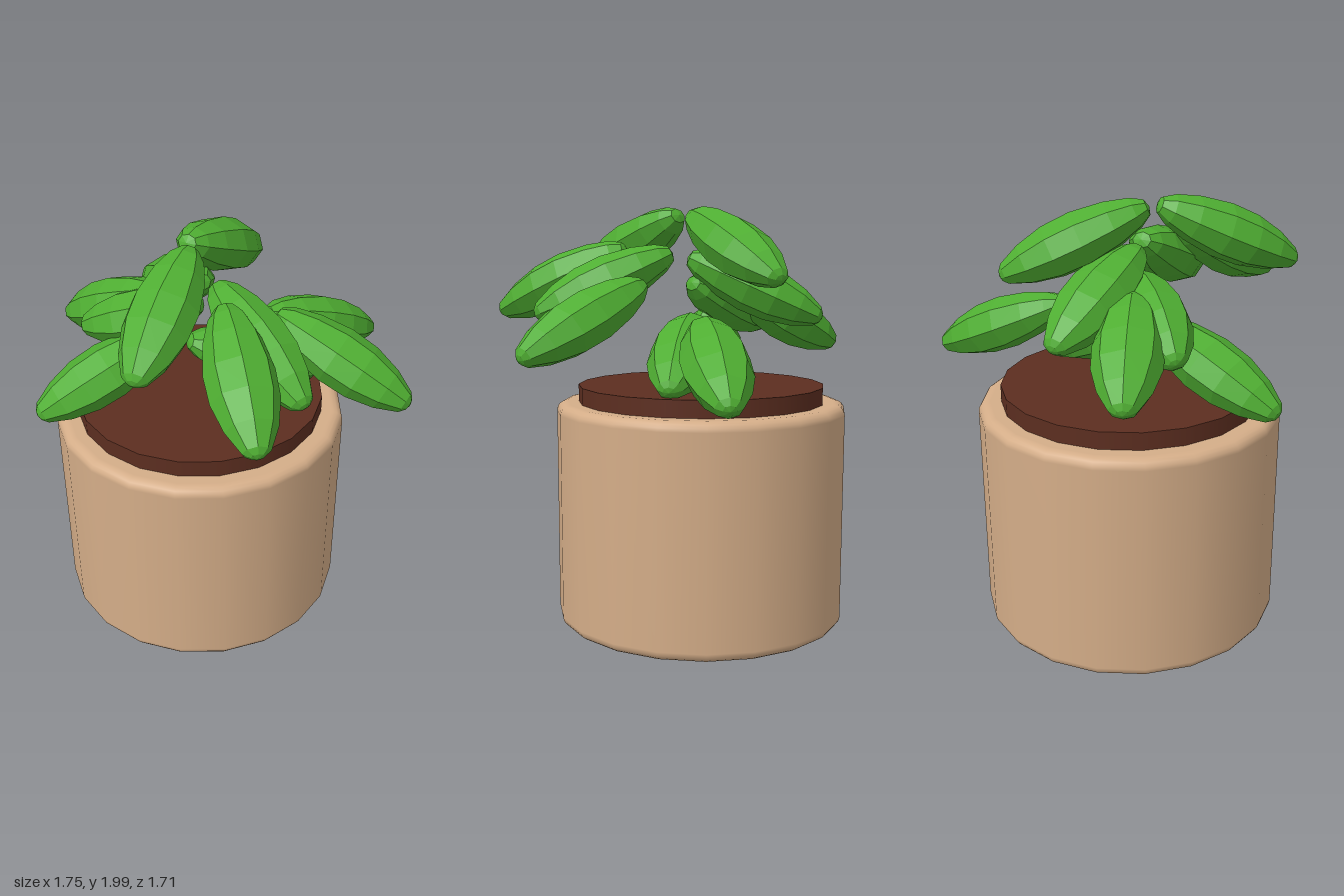
import * as THREE from 'three';

const green = new THREE.MeshStandardMaterial({ color: 0x4fae32, flatShading: true });
const clay = new THREE.MeshStandardMaterial({ color: 0xd4ad88 });
const earth = new THREE.MeshStandardMaterial({ color: 0x5c2e20 });

const lathe = (points, sides) =>
  new THREE.LatheGeometry(points.map(([r, y]) => new THREE.Vector2(r, y)), sides);

// Plump faceted leaf, one unit long along y: base at 0, tip at 1, flattened in z
function leafGeometry() {
  const profile = [[0, 0], [0.045, 0.015], [0.085, 0.09], [0.125, 0.24], [0.152, 0.45],
    [0.147, 0.64], [0.112, 0.82], [0.06, 0.96], [0.03, 0.99], [0, 1]];
  return lathe(profile, 8).scale(1, 1, 0.83);
}

// Base point and tip point of every leaf
const leaves = [
  [[-0.03, 1.79, 0.19], [-0.01, 1.48, 0.85]],    // front
  [[-0.03, 1.77, -0.04], [0.25, 1.48, 0.55]],    // front left
  [[0.23, 1.63, 0.02], [0.77, 1.32, 0.39]],      // left, towards the front
  [[-0.15, 1.45, -0.11], [0.48, 1.17, -0.18]],   // left, low
  [[0.25, 1.46, -0.27], [0.87, 1.16, -0.55]],    // left, outer
  [[-0.15, 1.95, -0.1], [0.25, 1.65, -0.62]],    // back left, top
  [[-0.08, 1.75, -0.1], [-0.24, 1.46, -0.72]],   // back
  [[-0.25, 1.61, -0.28], [-0.67, 1.31, -0.71]],  // back right, outer
  [[-0.08, 1.63, -0.12], [-0.62, 1.42, -0.38]],  // right, inner
  [[-0.23, 1.47, -0.17], [-0.87, 1.17, -0.02]],  // right, low
  [[-0.14, 1.95, -0.04], [-0.46, 1.66, 0.53]],   // front right, top
];

export function createModel() {
  const model = new THREE.Group();
  model.name = 'pottedPlant';

  const add = (parent, name, geometry, material) => {
    const mesh = new THREE.Mesh(geometry, material);
    mesh.name = name;
    parent.add(mesh);
    return mesh;
  };

  // Pot with softly rounded edges; it stands a little off the centre
  const R = 0.695, H = 1.065, b = 0.045;
  const profile = [[0, 0], [R - b - 0.01, 0]];
  for (let i = 0; i <= 4; i++) {
    const a = (i / 4) * Math.PI / 2;
    profile.push([R - b + b * Math.sin(a), b - b * Math.cos(a)]);
  }
  for (let i = 0; i <= 4; i++) {
    const a = (i / 4) * Math.PI / 2;
    profile.push([R - b + b * Math.cos(a), H - b + b * Math.sin(a)]);
  }
  profile.push([R - b - 0.01, H], [0.56, H]);
  const pot = add(model, 'pot', lathe(profile, 20), clay);
  pot.position.set(-0.09, 0, -0.165);

  // Soil
  const soil = add(model, 'soil', new THREE.CylinderGeometry(0.59, 0.59, 0.16, 20), earth);
  soil.position.set(-0.09, 1.065, -0.165);

  // Leaves, spreading outward and drooping
  const foliage = new THREE.Group();
  foliage.name = 'foliage';
  model.add(foliage);
  const geometry = leafGeometry();
  const up = new THREE.Vector3(0, 1, 0);
  leaves.forEach(([from, to], i) => {
    const base = new THREE.Vector3(...from);
    const along = new THREE.Vector3(...to).sub(base);
    const length = along.length();
    along.normalize();
    const side = new THREE.Vector3().crossVectors(along, up).normalize();
    const normal = new THREE.Vector3().crossVectors(side, along);
    const leaf = add(foliage, `leaf${i + 1}`, geometry, green);
    leaf.quaternion.setFromRotationMatrix(new THREE.Matrix4().makeBasis(side, along, normal));
    leaf.position.copy(base);
    leaf.scale.y = length;
  });

  return model;
}
